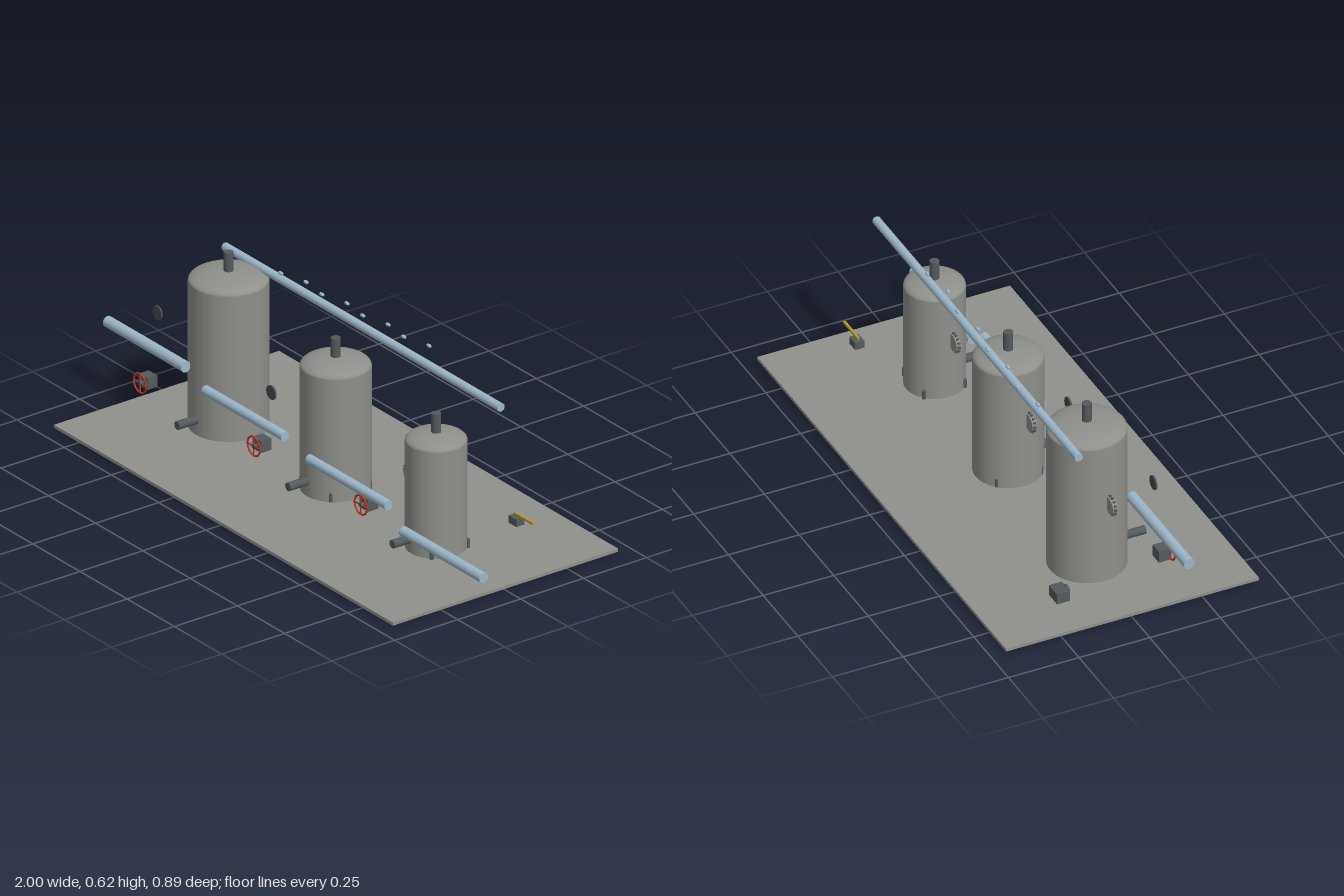
import * as THREE from 'three';

const mat = (name, color) => {
  const m = new THREE.MeshStandardMaterial({ color });
  m.name = name;
  return m;
};

export function createModel() {
  const tankGrey = mat('tankGrey', 0x8f8f8b);
  const plateGrey = mat('plateGrey', 0x90918d);
  const darkSteel = mat('darkSteel', 0x525a5e);
  const gaugeDark = mat('gaugeDark', 0x44484b);
  const pipeBlue = mat('pipeBlue', 0x9db7c9);
  const wheelRed = mat('wheelRed', 0xb83a2c);
  const leverYellow = mat('leverYellow', 0xb89c28);

  const model = new THREE.Group();
  model.name = 'processPlant';

  const add = (parent, name, geo, material, x = 0, y = 0, z = 0) => {
    const mesh = new THREE.Mesh(geo, material);
    mesh.name = name;
    mesh.position.set(x, y, z);
    parent.add(mesh);
    return mesh;
  };
  const box = (w, h, d) => new THREE.BoxGeometry(w, h, d);
  const cyl = (r, h, n = 24) => new THREE.CylinderGeometry(r, r, h, n);
  const cylX = (r, h, n) => cyl(r, h, n).rotateZ(Math.PI / 2);
  const cylZ = (r, h, n) => cyl(r, h, n).rotateX(Math.PI / 2);
  const group = (name, x = 0, y = 0, z = 0) => {
    const g = new THREE.Group();
    g.name = name;
    g.position.set(x, y, z);
    model.add(g);
    return g;
  };

  // Floor plate
  add(model, 'basePlate', box(1.795, 0.011, 0.895), plateGrey, 0.0225, 0.0105, 0);

  // Three tanks of falling size: radius, shoulder, dome top, vent top, flange height
  const tanks = [
    { x: -0.546, r: 0.13, shoulder: 0.527, top: 0.56, vent: 0.625, flangeY: 0.313 },
    { x: 0.021, r: 0.115, shoulder: 0.446, top: 0.478, vent: 0.543, flangeY: 0.268 },
    { x: 0.553, r: 0.1, shoulder: 0.389, top: 0.418, vent: 0.483, flangeY: 0.232 },
  ];
  for (const t of tanks) {
    const g = group('tank', t.x);
    const h = t.shoulder - 0.012;
    add(g, 'tankShell', cyl(t.r, h, 48), tankGrey, 0, 0.012 + h / 2, 0);
    const dome = new THREE.SphereGeometry(t.r, 48, 12, 0, Math.PI * 2, 0, Math.PI / 2);
    add(g, 'tankDome', dome.scale(1, (t.top - t.shoulder) / t.r, 1), tankGrey, 0, t.shoulder, 0);
    add(g, 'ventPipe', cyl(0.016, t.vent - t.top + 0.02), darkSteel, 0, (t.vent + t.top - 0.02) / 2, 0);
    add(g, 'footDisc', cyl(t.r * 0.82, 0.014, 40), darkSteel, 0, 0.007, 0);
    add(g, 'drainPipe', cylZ(0.0143, 0.095), darkSteel, 0, 0.07, t.r + 0.0275);

    // Four stub legs on the diagonals
    const d = Math.min(0.078, t.r * 0.72);
    for (const sx of [-1, 1]) for (const sz of [-1, 1]) {
      add(g, 'leg', new THREE.CapsuleGeometry(0.007, 0.03, 4, 10), darkSteel, sx * d, 0.028, sz * d);
    }

    // Bolted flange on the right flank
    const flange = new THREE.Group();
    flange.name = 'sideFlange';
    flange.position.set(-t.r - 0.014, t.flangeY, 0.016);
    g.add(flange);
    add(flange, 'flangeDisc', cylZ(0.029, 0.016, 28), tankGrey);
    for (let i = 0; i < 14; i++) {
      const a = (i / 14) * Math.PI * 2;
      const bolt = add(flange, 'flangeBolt', box(0.009, 0.006, 0.008), darkSteel,
        Math.cos(a) * 0.031, Math.sin(a) * 0.031, 0);
      bolt.rotation.z = a;
    }
  }

  // Horizontal pipes: start x, end x, y, z, radius
  const pipes = [
    ['feedPipe', -1, -0.585, 0.243, 0.14, 0.019],
    ['linkPipe', -0.473, -0.051, 0.208, 0.147, 0.0165],
    ['linkPipe', 0.077, 0.497, 0.178, 0.147, 0.0165],
    ['outletPipe', 0.575, 1, 0.117, 0.147, 0.0175],
    ['overheadPipe', -0.709, 0.752, 0.548, -0.108, 0.0145],
  ];
  for (const [name, x0, x1, y, z, r] of pipes) {
    add(model, name, cylX(r, x1 - x0), pipeBlue, (x0 + x1) / 2, y, z);
  }

  // Rising row of small beads above the overhead pipe
  const beads = group('beads');
  for (let i = 0; i < 8; i++) {
    const bead = new THREE.SphereGeometry(0.006, 14, 10).scale(2, 1, 1);
    add(beads, 'bead', bead, pipeBlue, -0.414 + i * 0.1085, 0.569 + i * 0.0048, i % 2 ? -0.127 : -0.108);
  }

  // Round gauges beside the two taller tanks
  for (const [x, y, z] of [[-0.725, 0.383, 0.148], [-0.142, 0.324, 0.133]]) {
    const g = group('gauge', x, y, z);
    add(g, 'gaugeCase', cylZ(0.024, 0.006, 28), gaugeDark);
    add(g, 'gaugeRim', new THREE.TorusGeometry(0.022, 0.003, 8, 28), darkSteel);
  }

  // Valves with red handwheels
  for (const [x, z] of [[-0.762, 0.19], [-0.179, 0.175], [0.366, 0.159]]) {
    const g = group('valve', x, 0.132, z);
    add(g, 'valveBody', box(0.046, 0.041, 0.04), darkSteel, 0, 0.001, -0.032);
    add(g, 'valveStem', cylZ(0.006, 0.018, 12), darkSteel, 0, 0, -0.006);
    add(g, 'handwheel', new THREE.TorusGeometry(0.033, 0.0032, 8, 32), wheelRed);
    add(g, 'wheelHub', cylZ(0.008, 0.007, 14), darkSteel);
    for (let i = 0; i < 2; i++) {
      const spoke = add(g, 'wheelSpoke', box(0.064, 0.004, 0.004), wheelRed);
      spoke.rotation.z = (i * Math.PI) / 2;
    }
  }

  // Small pump block with a round nose at the back right
  const pump = group('pump', -0.743, 0.071, -0.193);
  add(pump, 'pumpBody', box(0.06, 0.037, 0.046), darkSteel);
  add(pump, 'pumpNose', new THREE.SphereGeometry(0.016, 18, 12).scale(1, 1, 0.6), darkSteel, 0, 0.008, 0.024);

  // Lever valve at the back left
  const lever = group('leverValve', 0.725, 0.117, -0.19);
  add(lever, 'leverBody', box(0.042, 0.026, 0.033), darkSteel);
  add(lever, 'leverPost', cyl(0.004, 0.012, 10), darkSteel, 0, 0.015, 0);
  add(lever, 'leverHandle', box(0.101, 0.008, 0.008), leverYellow, 0.04, 0.021, 0);

  return model;
}
